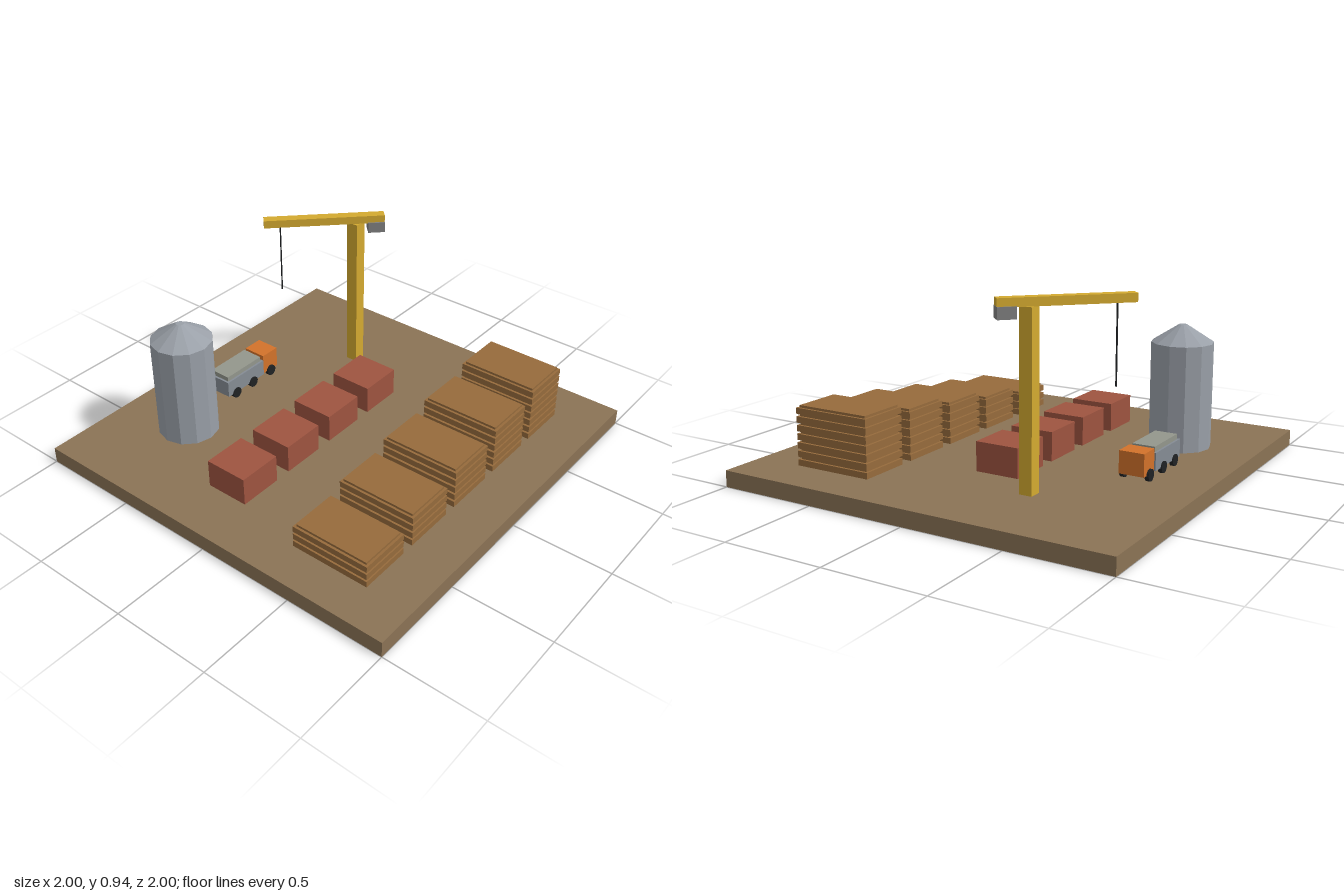
import * as THREE from 'three';

const mat = (color) => new THREE.MeshStandardMaterial({ color, flatShading: true });
const MATS = {
  ground: mat(0x8b7355), wood: mat(0x966b3c), brick: mat(0x9e5440), metal: mat(0x9aa0a8),
  yellow: mat(0xd4aa30), orange: mat(0xd2722a), bed: mat(0x858c94), load: mat(0x93968c),
  weight: mat(0x808080), black: mat(0x202224),
};
const GROUND = 0.08;

function add(parent, name, geometry, material, x, y, z) {
  const mesh = new THREE.Mesh(geometry, material);
  mesh.name = name;
  mesh.position.set(x, y, z);
  parent.add(mesh);
  return mesh;
}

// Box standing on height y
function box(parent, name, material, w, h, d, x, y, z) {
  return add(parent, name, new THREE.BoxGeometry(w, h, d), material, x, y + h / 2, z);
}

function group(parent, name, x, y, z) {
  const g = new THREE.Group();
  g.name = name;
  g.position.set(x, y, z);
  parent.add(g);
  return g;
}

// Pile of wide boards separated by narrower spacers
function lumberStack(parent, layers, x, z) {
  const stack = group(parent, 'lumberStack', x, GROUND, z);
  const step = 0.0413, slab = 0.03;
  for (let i = 0; i < layers; i++) {
    box(stack, 'boards', MATS.wood, 0.262, slab, 0.405, 0, i * step, 0);
    box(stack, 'spacer', MATS.wood, 0.238, step - slab, 0.381, 0, i * step + slab, 0);
  }
}

function silo(parent) {
  const g = group(parent, 'silo', -0.46, GROUND, -0.615);
  add(g, 'siloBody', new THREE.CylinderGeometry(0.152, 0.152, 0.52, 12), MATS.metal, 0, 0.26, 0);
  add(g, 'siloRoof', new THREE.CylinderGeometry(0.02, 0.152, 0.085, 12), MATS.metal, 0, 0.5625, 0);
}

function truck(parent) {
  const g = group(parent, 'truck', 0, 0, -0.668);
  box(g, 'bed', MATS.bed, 0.268, 0.085, 0.134, -0.05, 0.112, 0);
  box(g, 'load', MATS.load, 0.245, 0.025, 0.112, -0.05, 0.197, 0);
  box(g, 'cab', MATS.orange, 0.106, 0.108, 0.124, 0.142, 0.112, 0);
  const wheel = new THREE.CylinderGeometry(0.029, 0.029, 0.02, 12).rotateX(Math.PI / 2);
  for (const x of [-0.125, 0, 0.14])
    for (const side of [-1, 1]) add(g, 'wheel', wheel, MATS.black, x, 0.11, side * 0.063);
}

function crane(parent) {
  const g = group(parent, 'crane', 0.557, 0, -0.358);
  box(g, 'mast', MATS.yellow, 0.063, 0.82, 0.063, 0, GROUND, 0);
  // Parts carried by the arm, which is swung 45 degrees
  const arm = group(g, 'arm', 0, 0, 0);
  arm.rotation.y = -Math.PI / 4;
  box(arm, 'jib', MATS.yellow, 0.612, 0.04, 0.05, -0.162, 0.9, 0);
  box(arm, 'counterweight', MATS.weight, 0.085, 0.054, 0.066, 0.102, 0.85, 0);
  add(arm, 'cable', new THREE.CylinderGeometry(0.004, 0.004, 0.37, 6), MATS.black, -0.385, 0.717, 0);
}

export function createModel() {
  const model = new THREE.Group();
  model.name = 'buildingYard';
  box(model, 'ground', MATS.ground, 2, GROUND, 2, 0, 0, 0);
  for (let i = 0; i < 5; i++) lumberStack(model, 3 + i, -0.665 + i * 0.326, 0.5625);
  for (let i = 0; i < 4; i++)
    box(model, 'brickPallet', MATS.brick, 0.223, 0.143, 0.222, -0.615 + i * 0.306, GROUND, -0.102);
  silo(model);
  truck(model);
  crane(model);
  return model;
}
